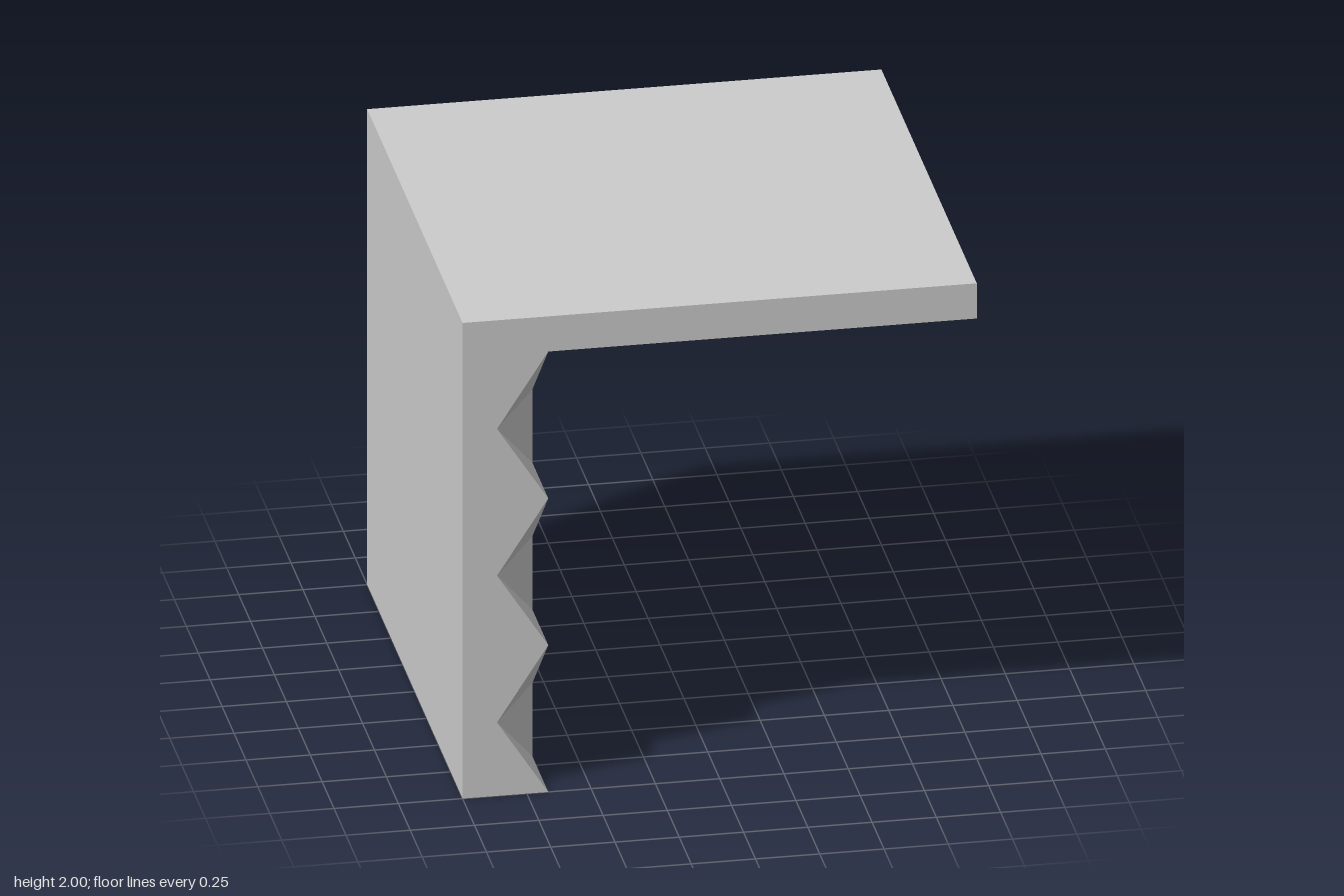
import * as THREE from 'three';

const FACE = -2 / 3;   // x of the wall's inner face
const PIT = -0.866;    // x at the bottom of each pit
const UNDER = 1.852;   // underside of the top slab
const N = 6;           // relief cells each way

const material = new THREE.MeshStandardMaterial({ color: 0xcccccc, flatShading: true });

// Relief grid point: column i runs front to back, row j bottom to top
function reliefPoint(i, j) {
  const pit = i % 2 === 0 && j % 2 === 1;
  return [pit ? PIT : FACE, (UNDER * j) / N, 1 - (2 * i) / N];
}

function facets(triangles) {
  const geometry = new THREE.BufferGeometry();
  geometry.setAttribute('position', new THREE.Float32BufferAttribute(triangles.flat(2), 3));
  geometry.computeVertexNormals();
  return geometry;
}

// Faceted inner face of the wall
function reliefGeometry() {
  const triangles = [];
  for (let i = 0; i < N; i++) {
    for (let j = 0; j < N; j++) {
      const tl = reliefPoint(i, j + 1), tr = reliefPoint(i + 1, j + 1);
      const bl = reliefPoint(i, j), br = reliefPoint(i + 1, j);
      // The rearmost column folds the other way, except in its top cell
      if (i === N - 1 && j < N - 1) triangles.push([tl, bl, tr], [bl, br, tr]);
      else triangles.push([tl, bl, br], [tl, br, tr]);
    }
  }
  return facets(triangles);
}

// Flat panels swept front to back along a clockwise outline
function panelGeometry(points) {
  const triangles = [];
  for (let k = 0; k < points.length - 1; k++) {
    const [a, b] = [points[k], points[k + 1]];
    const af = [...a, 1], bf = [...b, 1], ab = [...a, -1], bb = [...b, -1];
    triangles.push([af, bf, bb], [af, bb, ab]);
  }
  return facets(triangles);
}

// L-shaped end with a zigzag inner edge
function endGeometry(outline, mirror) {
  const points = outline.map(([x, y]) => new THREE.Vector2(x * mirror, y));
  for (let j = N - 1; j > 0; j--) {
    const [x, y] = reliefPoint(0, j);
    points.push(new THREE.Vector2(x * mirror, y));
  }
  return new THREE.ShapeGeometry(new THREE.Shape(points));
}

export function createModel() {
  const model = new THREE.Group();
  const add = (name, geometry) => {
    const mesh = new THREE.Mesh(geometry, material);
    mesh.name = name;
    model.add(mesh);
    return mesh;
  };

  const wall = [[FACE, 0], [-1, 0], [-1, 2]];
  const slab = [[-1, 2], [1, 2], [1, UNDER], [FACE, UNDER]];
  const outline = [...wall, ...slab.slice(1)];

  add('wallPanels', panelGeometry(wall));
  add('topSlab', panelGeometry(slab));
  add('facetedWallFace', reliefGeometry());
  add('frontEnd', endGeometry(outline, 1)).position.z = 1;
  const back = add('backEnd', endGeometry(outline, -1));
  back.rotation.y = Math.PI;
  back.position.z = -1;

  return model;
}
